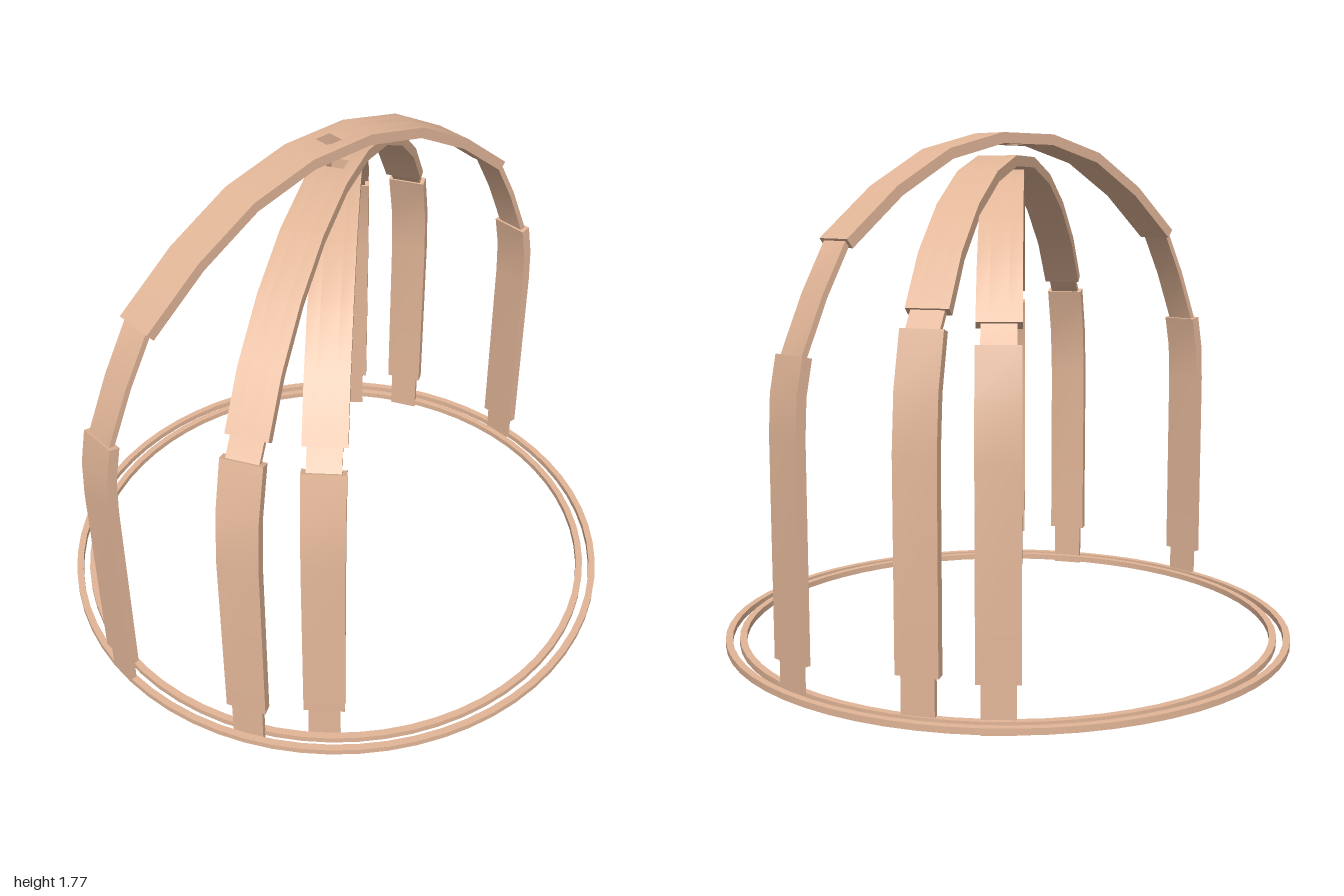
import * as THREE from 'three';
import { toCreasedNormals } from 'three/addons/utils/BufferGeometryUtils.js';

const material = new THREE.MeshStandardMaterial({ color: 0xe2b698 });
const SLEEVE_W = 0.136, SLEEVE_T = 0.036, STRAP_W = 0.106, STRAP_T = 0.02, HOLE = 0.058;

function makeMesh(name, geometry) {
  const mesh = new THREE.Mesh(toCreasedNormals(geometry, 0.4), material);
  mesh.name = name;
  return mesh;
}

// Shift a path to its left by d, with mitred corners
function offsetPath(points, d) {
  const normals = points.slice(1).map((p, i) => {
    const t = p.clone().sub(points[i]).normalize();
    return new THREE.Vector2(-t.y, t.x);
  });
  return points.map((p, i) => {
    const a = normals[Math.max(i - 1, 0)], b = normals[Math.min(i, normals.length - 1)];
    const m = a.clone().add(b).normalize();
    return p.clone().addScaledVector(m, d / m.dot(a));
  });
}

// Flat strip that follows a path; thickness goes inwards, width across
function strip(name, points, thickness, width, shift = 0) {
  const outline = [...points, ...offsetPath(points, thickness).reverse()];
  const geometry = new THREE.ExtrudeGeometry(new THREE.Shape(outline), { depth: width, bevelEnabled: false });
  geometry.translate(0, 0, shift - width / 2);
  return makeMesh(name, geometry);
}

const toPoints = (list) => list.map(([x, y]) => new THREE.Vector2(x, y));

function arch({ name, angle, center, foot, leg, link, crown }) {
  const group = new THREE.Group();
  group.name = name;
  const legPath = toPoints(leg);
  const half = toPoints(crown);
  const top = half[half.length - 1].y;

  // Two mirrored sides: leg sleeve, inner strap, half of the crown's middle strip
  for (const turn of [0, Math.PI]) {
    const side = new THREE.Group();
    side.name = turn ? 'backSide' : 'frontSide';
    side.rotation.y = turn;
    side.add(strip('legSleeve', legPath, SLEEVE_T, SLEEVE_W));
    const strapPath = toPoints([[leg[0][0], foot], ...leg.slice(1), ...link, ...crown.slice(0, 2)]);
    side.add(strip('strap', offsetPath(strapPath, 0.008), STRAP_T, STRAP_W));
    side.add(strip('crownMiddle', [...half, new THREE.Vector2(HOLE / 2, top)], SLEEVE_T, HOLE));
    group.add(side);
  }

  // Crown edges either side of the square centre hole
  const full = [...half, ...half.map((p) => new THREE.Vector2(-p.x, p.y)).reverse()];
  const edge = (SLEEVE_W - HOLE) / 2;
  for (const s of [-1, 1]) {
    group.add(strip('crownEdge', full, SLEEVE_T, edge, s * (HOLE + edge) / 2));
  }

  group.rotation.y = THREE.MathUtils.degToRad(angle - 90);
  group.position.set(center[0], 0, center[1]);
  return group;
}

function ring(name, inner, outer) {
  const y0 = 0.027, y1 = 0.048;
  const profile = toPoints([[outer, y0], [outer, y1], [inner, y1], [inner, y0], [outer, y0]]);
  return makeMesh(name, new THREE.LatheGeometry(profile, 64));
}

export function createModel() {
  const model = new THREE.Group();
  model.name = 'archFrame';

  // Base rings
  model.add(ring('outerRing', 0.969, 0.993));
  model.add(ring('innerRing', 0.921, 0.945));

  // Three nested arches; paths run from the foot up to the crown
  model.add(arch({
    name: 'tallArch', angle: -7, center: [-0.02, 0.012], foot: 0.04,
    leg: [[0.986, 0.137], [0.986, 0.84], [0.979, 0.97], [0.955, 1.087]],
    link: [[0.872, 1.27]],
    crown: [[0.782, 1.43], [0.58, 1.59], [0.36, 1.71], [0.122, 1.768]],
  }));
  model.add(arch({
    name: 'middleArch', angle: 22.3, center: [0.011, 0.007], foot: 0.017,
    leg: [[0.957, 0.17], [0.957, 0.83], [0.938, 1.01], [0.885, 1.183]],
    link: [],
    crown: [[0.838, 1.237], [0.717, 1.395], [0.543, 1.535], [0.34, 1.637], [0.115, 1.693]],
  }));
  model.add(arch({
    name: 'lowArch', angle: 37.3, center: [0.004, -0.015], foot: 0,
    leg: [[0.928, 0.157], [0.928, 0.81], [0.911, 0.98], [0.868, 1.14]],
    link: [],
    crown: [[0.815, 1.2], [0.695, 1.36], [0.527, 1.495], [0.33, 1.592], [0.111, 1.645]],
  }));
  return model;
}
